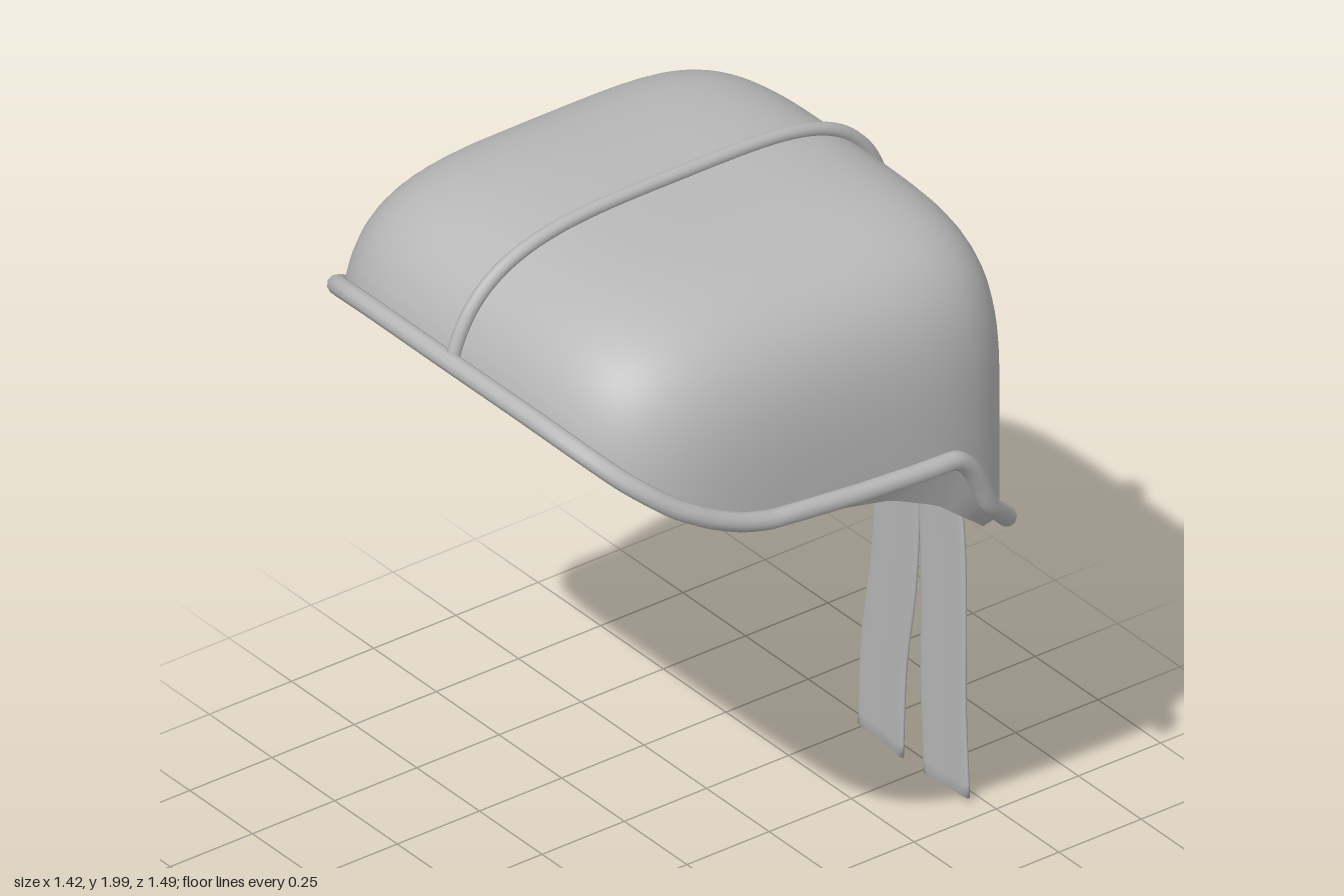
import * as THREE from 'three';

const POWER = 3.8;          // squareness of the crown's profile
const SQUARE = 4.2;         // squareness of its outline from above
const BASE_Y = 1.35, HEIGHT = 0.622;
const HALF_X = 0.67, FRONT_Z = 0.729, BACK_Z = 0.61;
const THICK = 0.04;         // cloth thickness between crown and lining

// Height of the lining's hem and of the piping, as [z, y] pairs
const HEM = [[-0.62, 0.97], [-0.55, 1.02], [-0.45, 1.11], [-0.3, 1.23], [-0.15, 1.3], [0, 1.33],
  [0.25, 1.38], [0.34, 1.42], [0.42, 1.46], [0.52, 1.525], [0.62, 1.6], [0.735, 1.69]];
const PIPING = [[-0.62, 0.985], [-0.5, 1.1], [-0.41, 1.2], [-0.35, 1.33], [-0.29, 1.38], [0, 1.4],
  [0.27, 1.425], [0.35, 1.447], [0.43, 1.482], [0.52, 1.533], [0.62, 1.61], [0.735, 1.712]];

function lookUp(table, z) {
  let i = 1;
  while (i < table.length - 1 && z > table[i][0]) i++;
  const [a, b] = [table[i - 1], table[i]];
  const t = THREE.MathUtils.clamp((z - a[0]) / (b[0] - a[0]), 0, 1);
  return a[1] + (b[1] - a[1]) * t;
}

// Rounded-square outline seen from above
function plan(angle) {
  const c = Math.cos(angle), s = Math.sin(angle);
  const depth = s > 0 ? FRONT_Z : BACK_Z;
  const r = Math.pow(Math.pow(Math.abs(c) / HALF_X, SQUARE) + Math.pow(Math.abs(s) / depth, SQUARE), -1 / SQUARE);
  return [r * c, r * s];
}

// How far the crown has closed in at height y
function inset(y, height = HEIGHT) {
  const h = THREE.MathUtils.clamp((y - BASE_Y) / height, 0, 1);
  return Math.pow(1 - Math.pow(h, POWER), 1 / POWER);
}

// Unit profile point [outward, up] at an angle above the horizontal
function profile(a) {
  const c = Math.cos(a), s = Math.sin(a);
  const rho = Math.pow(Math.pow(Math.abs(c), POWER) + Math.pow(Math.abs(s), POWER), -1 / POWER);
  return [rho * c, rho * s];
}

// Closed loops stacked from bottom to top; f(u, row) returns a point
function loft(cols, rows, f) {
  const pos = [], index = [];
  for (let j = 0; j < rows; j++) {
    for (let i = 0; i < cols; i++) pos.push(...f((i / cols) * Math.PI * 2, j));
  }
  for (let j = 0; j < rows - 1; j++) {
    for (let i = 0; i < cols; i++) {
      const a = j * cols + i, b = j * cols + (i + 1) % cols;
      index.push(a, a + cols, b, b, a + cols, b + cols);
    }
  }
  const g = new THREE.BufferGeometry();
  g.setAttribute('position', new THREE.Float32BufferAttribute(pos, 3));
  g.setIndex(index);
  g.computeVertexNormals();
  return g;
}

// Dome cut off below along an edge table; gap moves it inwards
const LOW = 8, HIGH = 32;
function domePoint(u, j, edge, gap) {
  const [x, z] = plan(u);
  const shrink = 1 - gap / Math.hypot(x, z), height = HEIGHT - gap;
  const hem = lookUp(edge, z), mid = Math.max(BASE_Y, hem + 0.05);
  let y, r;
  if (j <= LOW) {
    y = hem + (mid - hem) * j / LOW;
    r = inset(y, height);
  } else {
    const start = Math.atan2((mid - BASE_Y) / height, inset(mid, height));
    const [out, up] = profile(start + (Math.PI / 2 - start) * (j - LOW) / HIGH);
    y = BASE_Y + height * up;
    r = out;
  }
  return [x * r * shrink, y, z * r * shrink];
}
const domeGeometry = (edge, gap) => loft(128, LOW + HIGH + 1, (u, j) => domePoint(u, j, edge, gap));

// Slanted band joining the lining's hem to the crown's edge
const lipGeometry = () => loft(128, 2, (u, j) => (j ? domePoint(u, 0, PIPING, 0) : domePoint(u, 0, HEM, THICK)));

function pipingGeometry() {
  const points = [];
  for (let i = 0; i < 120; i++) {
    const [x, z] = plan((i / 120) * Math.PI * 2);
    const y = lookUp(PIPING, z);
    const r = inset(y) + 0.017 / Math.hypot(x, z);
    points.push(new THREE.Vector3(x * r, y, z * r));
  }
  return new THREE.TubeGeometry(new THREE.CatmullRomCurve3(points, true), 300, 0.025, 10, true);
}

// Cord running over the middle of the crown, front to back
function seamGeometry() {
  const points = [];
  const start = Math.atan2((1.71 - BASE_Y) / HEIGHT, inset(1.71));
  for (let i = 0; i <= 48; i++) {
    const [out, up] = profile(start + (Math.PI - start) * i / 48);
    points.push(new THREE.Vector3(0, BASE_Y + (HEIGHT + 0.01) * up,
      out * (out > 0 ? FRONT_Z : BACK_Z) + 0.008 * Math.sign(out)));
  }
  points.push(new THREE.Vector3(0, 1.12, -BACK_Z - 0.008));
  return new THREE.TubeGeometry(new THREE.CatmullRomCurve3(points), 120, 0.018, 10);
}

// Hanging ribbon: lens-shaped bowed section swept up a curve of [x, y] points
function ribbonGeometry(path, side) {
  const curve = new THREE.CatmullRomCurve3(path.map(([x, y]) => new THREE.Vector3(x, y, -0.722 + 0.04 * y / 1.1)));
  const N = 28;
  return loft(32, N + 4, (u, j) => {
    const t = THREE.MathUtils.clamp((j - 1) / N, 0, 1);
    const p = curve.getPoint(t);
    const cap = j === 0 || j === N + 3 ? 0 : 1;   // end caps close to the centre
    const c = Math.cos(u), s = Math.sin(u);
    const w = Math.sign(c) * Math.pow(Math.abs(c), 0.8) * cap;
    const half = 0.09 - 0.02 * Math.max(0, (t - 0.9) / 0.1);
    const bow = 0.012 * w * w - 0.004;
    return [p.x + w * half, p.y + side * w * 0.007, p.z + bow + s * 0.015 * cap];
  });
}

export function createModel() {
  const model = new THREE.Group();
  model.name = 'cap';
  const grey = new THREE.MeshStandardMaterial({ color: 0xb8b8b8, side: THREE.DoubleSide });
  grey.name = 'grey cloth';
  const add = (name, geometry) => {
    const mesh = new THREE.Mesh(geometry, grey);
    mesh.name = name;
    model.add(mesh);
    return mesh;
  };

  add('crown', domeGeometry(PIPING, 0));
  add('lining', domeGeometry(HEM, THICK));
  add('lip', lipGeometry());
  add('edgePiping', pipingGeometry());
  add('centreSeam', seamGeometry());

  const knot = add('knot', new THREE.SphereGeometry(1, 32, 20));
  knot.scale.set(0.128, 0.096, 0.065);
  knot.position.set(0, 1.145, -0.667);

  add('rightRibbon', ribbonGeometry([[-0.163, 0.013], [-0.137, 0.28], [-0.088, 0.53], [-0.064, 0.76], [-0.07, 1.1]], -1));
  add('leftRibbon', ribbonGeometry([[0.1, 0.013], [0.1, 0.28], [0.112, 0.52], [0.117, 0.78], [0.085, 1.09]], 1));
  return model;
}
